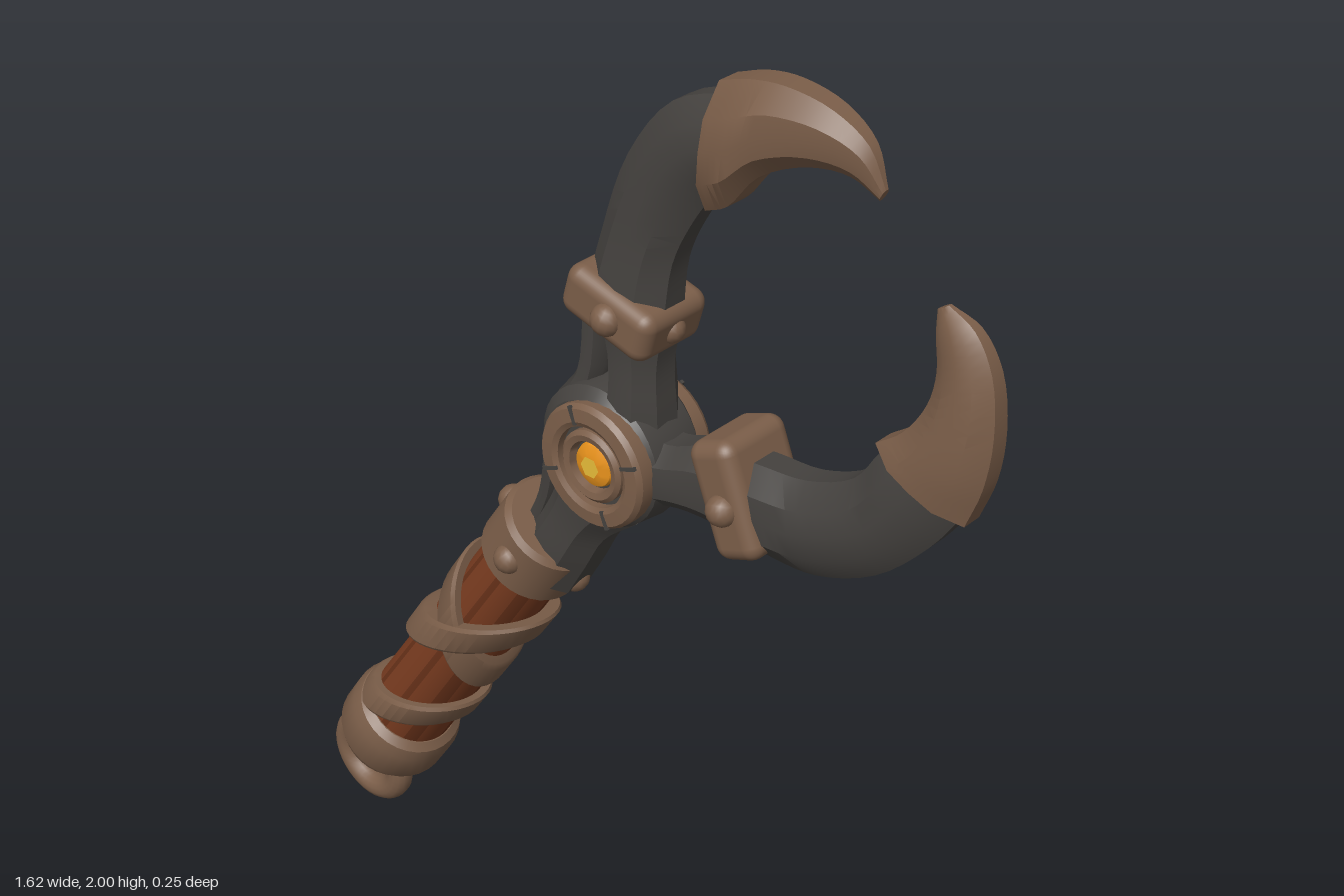
import * as THREE from 'three';
import { toCreasedNormals } from 'three/addons/utils/BufferGeometryUtils.js';
import { RoundedBoxGeometry } from 'three/addons/geometries/RoundedBoxGeometry.js';

const material = (name, color) => {
  const m = new THREE.MeshStandardMaterial({ color });
  m.name = name;
  return m;
};

export function createModel() {
  const bronze = material('bronze', 0x7b5e49);
  const iron = material('dark iron', 0x45423f);
  const wood = material('wood', 0x7a3c20);
  const woodGrain = material('wood grain', 0x673119);
  const amber = material('amber', 0xe8921c);
  const yellow = material('yellow glow', 0xf2c53c);

  const model = new THREE.Group();
  model.name = 'clawTool';

  const add = (parent, name, geometry, mat, x = 0, y = 0, z = 0) => {
    const mesh = new THREE.Mesh(geometry, mat);
    mesh.name = name;
    mesh.position.set(x, y, z);
    parent.add(mesh);
    return mesh;
  };

  const lathe = (points, segments = 32) =>
    toCreasedNormals(new THREE.LatheGeometry(points.map(p => new THREE.Vector2(...p)), segments), 0.6);

  // Bevelled limb through stations [leftX, leftY, rightX, rightY, halfDepth],
  // left and right being seen along the direction of travel
  const section = [[1, 0.4], [0.5, 0.95], [0, 1.02], [-0.5, 0.95], [-1, 0.4],
    [-1, -0.4], [-0.5, -0.95], [0, -1.02], [0.5, -0.95], [1, -0.4]];
  const limb = (stations, steps = 4) => {
    const left = new THREE.CatmullRomCurve3(stations.map(s => new THREE.Vector3(s[0], s[1], s[4])));
    const right = new THREE.CatmullRomCurve3(stations.map(s => new THREE.Vector3(s[2], s[3], 0)));
    const rows = (stations.length - 1) * steps;
    const n = section.length;
    const pos = [], index = [];
    for (let i = 0; i <= rows; i++) {
      const a = left.getPoint(i / rows), b = right.getPoint(i / rows);
      for (const [u, v] of section) {
        pos.push((a.x + b.x) / 2 + u * (a.x - b.x) / 2, (a.y + b.y) / 2 + u * (a.y - b.y) / 2, v * a.z);
      }
    }
    for (let i = 0; i < rows; i++) {
      for (let j = 0; j < n; j++) {
        const k = (j + 1) % n, p = i * n, q = p + n;
        index.push(p + j, p + k, q + k, p + j, q + k, q + j);
      }
    }
    for (let j = 1; j < n - 1; j++) {
      index.push(0, j + 1, j, rows * n, rows * n + j, rows * n + j + 1);
    }
    const g = new THREE.BufferGeometry();
    g.setAttribute('position', new THREE.Float32BufferAttribute(pos, 3));
    g.setIndex(index);
    return toCreasedNormals(g, 0.55);
  };

  // Domed rivet pointing along a direction in the parent's frame
  const rivet = (parent, x, y, z, radius = 0.03) => {
    const g = new THREE.SphereGeometry(radius, 14, 10);
    add(parent, 'rivet', g, bronze, x, y, z);
  };

  // ---- Handle, built upright and then leaned over ----
  const handle = new THREE.Group();
  handle.name = 'handle';
  handle.position.set(-0.6, 0.27, 0);
  handle.rotation.z = -0.585;
  model.add(handle);

  // Wooden grip with darker grain columns
  const grip = new THREE.CylinderGeometry(0.082, 0.093, 0.72, 40, 1, true);
  grip.clearGroups();
  for (let i = 0; i < 40; i++) grip.addGroup(i * 6, 6, (i * 7) % 5 === 0 || i % 9 === 4 ? 1 : 0);
  add(handle, 'grip', grip, [wood, woodGrain], 0, 0.4, 0);

  // Pommel cap
  add(handle, 'pommel', lathe([[0, -0.1], [0.075, -0.1], [0.105, -0.08], [0.12, -0.05], [0.12, 0.03],
    [0.112, 0.055], [0.095, 0.068], [0.07, 0.068]]), bronze);

  // Leather straps: flat rings sheared into tilted loops
  for (const [y, slope, height, radius] of [[0.14, 0.9, 0.085, 0.11], [0.465, 1.15, 0.1, 0.113], [0.48, -0.9, 0.095, 0.106]]) {
    const h = height / 2;
    const g = new THREE.LatheGeometry([[0.08, -h], [radius - 0.006, -h], [radius, -h + 0.012],
      [radius, h - 0.012], [radius - 0.006, h], [0.08, h]].map(p => new THREE.Vector2(...p)), 40);
    const p = g.attributes.position;
    for (let i = 0; i < p.count; i++) p.setY(i, p.getY(i) + slope * p.getX(i));
    add(handle, 'strap', toCreasedNormals(g, 0.6), bronze, 0, y, 0);
  }

  // Upper collar with rivets all round
  add(handle, 'collar', lathe([[0.06, -0.07], [0.094, -0.07], [0.104, -0.058], [0.104, 0.058],
    [0.094, 0.07], [0.05, 0.07]]), bronze, 0, 0.783, 0);
  for (let i = 0; i < 4; i++) {
    const a = i * Math.PI / 2;
    rivet(handle, 0.094 * Math.sin(a), 0.783, 0.094 * Math.cos(a));
  }

  // Hanging ring and the link that holds it
  add(model, 'hangingRing', new THREE.TorusGeometry(0.083, 0.028, 14, 36), bronze, -0.7, 0.115, 0);
  add(handle, 'ringLink', new RoundedBoxGeometry(0.075, 0.1, 0.085, 3, 0.02), bronze, 0, -0.117, 0);

  // ---- Iron body ----
  add(model, 'trunk', limb([[-0.2, 0.93, -0.08, 0.85, 0.07], [-0.155, 1.0, -0.035, 0.93, 0.07],
    [-0.11, 1.08, 0.01, 1.01, 0.066], [-0.09, 1.17, 0.09, 1.08, 0.07]]), iron);
  add(model, 'sideBrace', limb([[-0.2, 0.96, -0.16, 0.94, 0.04], [-0.15, 1.06, -0.11, 1.05, 0.042],
    [-0.128, 1.17, -0.08, 1.17, 0.05], [-0.115, 1.26, -0.06, 1.24, 0.05],
    [-0.055, 1.35, -0.005, 1.33, 0.042], [-0.04, 1.5, 0.015, 1.5, 0.04]]), iron);
  const hubBody = add(model, 'hubBody', lathe([[0, -0.078], [0.115, -0.078], [0.137, -0.055], [0.143, 0],
    [0.137, 0.055], [0.115, 0.078], [0, 0.078]]), iron, 0.027, 1.21, 0);
  hubBody.rotation.x = Math.PI / 2;

  // Hub medallion on each face
  for (const turn of [0, Math.PI]) {
    const medallion = new THREE.Group();
    medallion.name = 'medallion';
    medallion.position.set(0.04, 1.21, 0);
    medallion.rotation.y = turn;
    model.add(medallion);
    const disc = (name, points, mat) => {
      add(medallion, name, lathe(points), mat).rotation.x = Math.PI / 2;
    };
    disc('outerRing', [[0.12, 0.05], [0.12, 0.088], [0.113, 0.098], [0.088, 0.1], [0.078, 0.094], [0.078, 0.06]], bronze);
    disc('innerRing', [[0.07, 0.06], [0.07, 0.09], [0.062, 0.097], [0.05, 0.094], [0.045, 0.07]], bronze);
    disc('gem', [[0.046, 0.07], [0.04, 0.086], [0.026, 0.092], [0, 0.094]], amber);
    add(medallion, 'gemGlow', new THREE.CircleGeometry(0.021, 6), yellow, 0, 0, 0.0955);
    // Dark notches between the ring segments
    for (let i = 0; i < 4; i++) {
      const a = Math.PI / 4 + i * Math.PI / 2 - 0.4;
      const notch = add(medallion, 'ringNotch', new THREE.BoxGeometry(0.036, 0.007, 0.006), iron,
        0.1 * Math.cos(a), 0.1 * Math.sin(a), 0.098);
      notch.rotation.z = a;
    }
  }

  // ---- Upper jaw ----
  add(model, 'upperArm', limb([[-0.03, 1.22, 0.14, 1.24, 0.07], [0.02, 1.33, 0.135, 1.32, 0.065],
    [0.02, 1.43, 0.13, 1.41, 0.06], [-0.015, 1.54, 0.145, 1.5, 0.064], [0.005, 1.64, 0.16, 1.62, 0.056],
    [0.06, 1.79, 0.195, 1.7, 0.052], [0.155, 1.91, 0.24, 1.765, 0.052], [0.28, 1.96, 0.28, 1.79, 0.05]]), iron);
  add(model, 'upperClaw', limb([[0.25, 1.972, 0.228, 1.742, 0.056], [0.31, 1.992, 0.275, 1.765, 0.062],
    [0.38, 2.0, 0.335, 1.835, 0.056], [0.47, 1.985, 0.43, 1.88, 0.043],
    [0.535, 1.945, 0.505, 1.885, 0.026], [0.565, 1.88, 0.555, 1.86, 0.008]]), bronze);

  // ---- Lower jaw ----
  add(model, 'lowerArm', limb([[0.06, 1.28, 0.06, 1.1, 0.07], [0.16, 1.275, 0.16, 1.15, 0.064],
    [0.24, 1.305, 0.26, 1.16, 0.06], [0.36, 1.32, 0.4, 1.15, 0.064], [0.46, 1.33, 0.49, 1.155, 0.058],
    [0.555, 1.375, 0.61, 1.21, 0.054], [0.6, 1.44, 0.71, 1.31, 0.05], [0.64, 1.48, 0.77, 1.4, 0.044]]), iron);
  add(model, 'lowerClaw', limb([[0.59, 1.455, 0.77, 1.375, 0.05], [0.64, 1.495, 0.797, 1.455, 0.05],
    [0.68, 1.56, 0.806, 1.55, 0.044], [0.69, 1.62, 0.79, 1.65, 0.035],
    [0.68, 1.68, 0.75, 1.71, 0.024], [0.675, 1.72, 0.695, 1.733, 0.008]]), bronze);

  // Riveted clamps round both arms
  for (const [name, x, y, angle, width] of [['upperClamp', 0.056, 1.51, -0.27, 0.2], ['lowerClamp', 0.325, 1.25, -1.19, 0.22]]) {
    const clamp = new THREE.Group();
    clamp.name = name;
    clamp.position.set(x, y, 0);
    clamp.rotation.z = angle;
    model.add(clamp);
    add(clamp, 'clampBand', new RoundedBoxGeometry(width, 0.1, 0.165, 4, 0.028), bronze);
    for (const s of [-1, 1]) rivet(clamp, 0.01, 0, s * 0.078);
    rivet(clamp, width / 2 - 0.012, 0, 0, 0.026);
  }

  return model;
}
